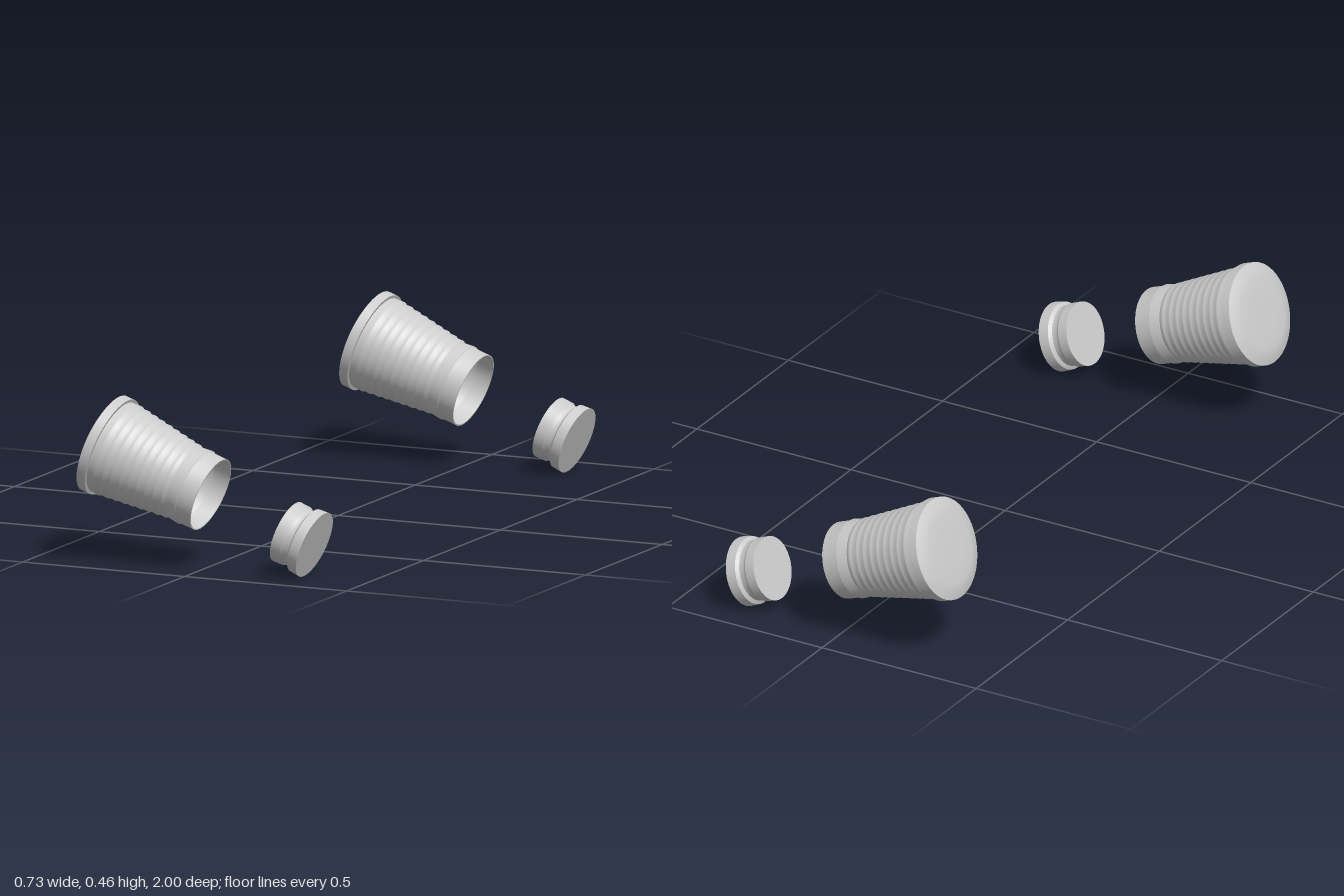
import * as THREE from 'three';

const TILT = -Math.PI * 110 / 180; // lathe axis points right and slightly down

// One lathe per run of [radius, distance along axis]; breaks between runs stay sharp.
function revolve(name, runs, material) {
  const part = new THREE.Group();
  part.name = name;
  for (const [label, points] of Object.entries(runs)) {
    const profile = points.map(([r, s]) => new THREE.Vector2(r, s));
    const mesh = new THREE.Mesh(new THREE.LatheGeometry(profile, 64), material);
    mesh.name = label;
    part.add(mesh);
  }
  part.rotation.z = TILT;
  return part;
}

// Sawtooth ribs along the tapering sleeve
function ribProfile() {
  const start = 0.008, end = 0.239, count = 9, pitch = (end - start) / count;
  const radiusAt = (s) => 0.1365 - 0.0285 * (s - start) / (end - start);
  const points = [[radiusAt(start), 0]];
  for (let i = 0; i < count; i++) {
    const s = start + i * pitch;
    points.push([radiusAt(s), s]);
    points.push([radiusAt(s) + 0.001, s + pitch * 0.4]);
    points.push([radiusAt(s) + 0.0015, s + pitch * 0.65]);
  }
  points.push([0.108, end]);
  return points;
}

export function createModel() {
  const grey = new THREE.MeshStandardMaterial({ color: 0xcccccc, side: THREE.DoubleSide });
  grey.name = 'light grey';

  const sleeveRuns = {
    domedEnd: [[0, -0.042], [0.05, -0.042], [0.1, -0.0415], [0.124, -0.036], [0.1455, -0.0274]],
    flangeRim: [[0.1455, -0.0274], [0.1455, 0]],
    flangeBack: [[0.1455, 0], [0.1365, 0]],
    ribbedWall: ribProfile(),
    neck: [[0.108, 0.239], [0.11, 0.255], [0.112, 0.273]],
    collar: [[0.112, 0.273], [0.1085, 0.276], [0.1085, 0.323]],
    openRim: [[0.1085, 0.323], [0.105, 0.323]],
    innerCollar: [[0.105, 0.323], [0.105, 0.273]],
  };

  const plugRuns = {
    innerFace: [[0, -0.09], [0.0905, -0.09]],
    innerBand: [[0.0905, -0.09], [0.0895, -0.06]],
    groove: [[0.0895, -0.06], [0.084, -0.051], [0.0855, -0.037]],
    shoulder: [[0.0855, -0.037], [0.0955, -0.03]],
    outerBand: [[0.0955, -0.03], [0.098, 0]],
    outerFace: [[0.098, 0], [0, 0]],
  };

  const model = new THREE.Group();
  model.name = 'sleevesAndPlugs';
  for (const [side, z] of [['front', 0.8545], ['back', -0.8545]]) {
    const sleeve = revolve(side + 'Sleeve', sleeveRuns, grey);
    sleeve.position.set(-0.292, 0.32, z);
    const plug = revolve(side + 'Plug', plugRuns, grey);
    plug.position.set(0.3315, 0.0935, z);
    model.add(sleeve, plug);
  }
  return model;
}
